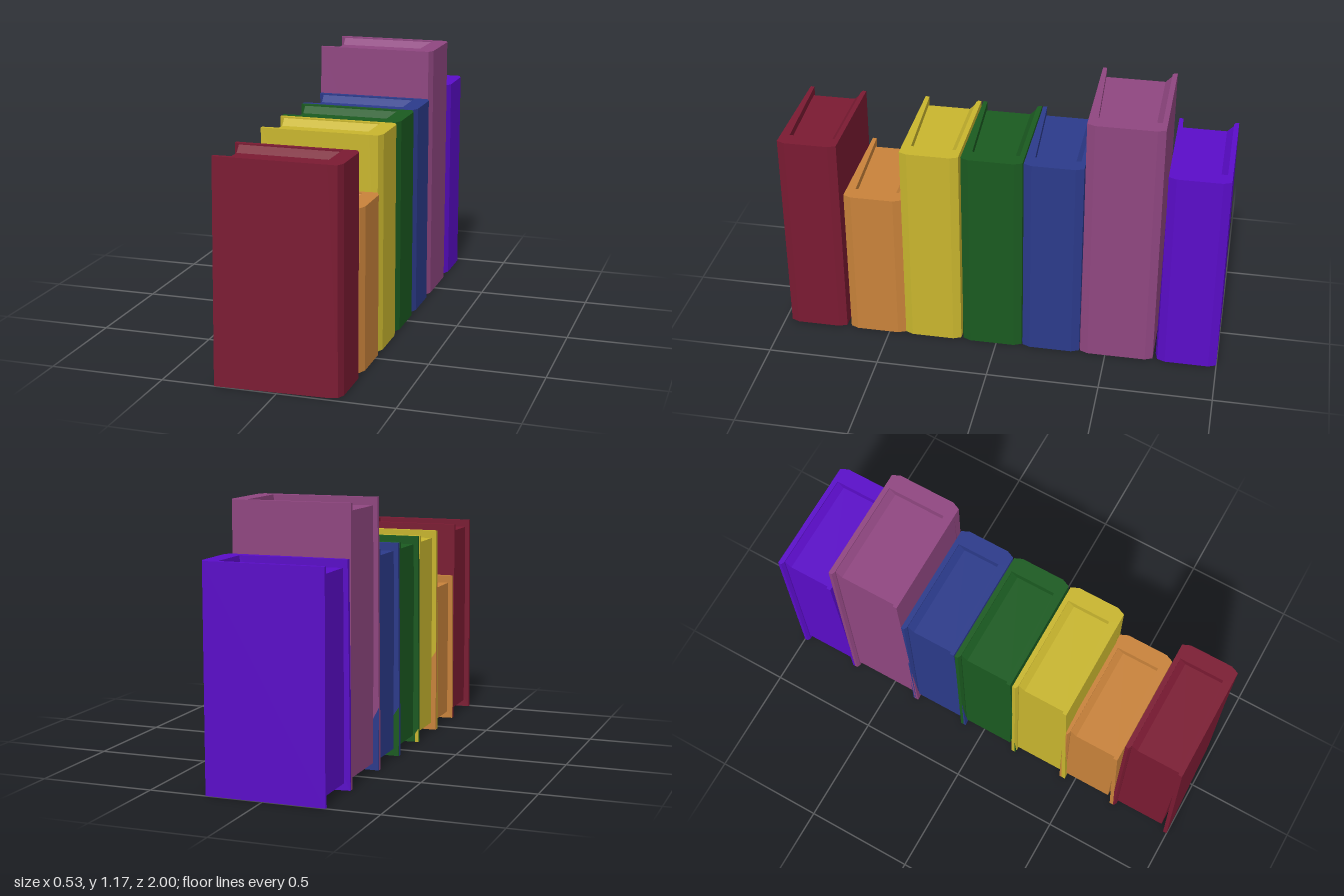
import * as THREE from 'three';

// back z, front z, height, color
const BOOKS = [
  ['violetBook', -1.0, -0.735, 0.955, 0x5a0cc8],
  ['mauveBook', -0.715, -0.385, 1.175, 0x8f4680],
  ['blueBook', -0.38, -0.12, 0.955, 0x2b3a8a],
  ['greenBook', -0.115, 0.155, 0.955, 0x1a5a20],
  ['yellowBook', 0.165, 0.425, 0.955, 0xc8b52e],
  ['orangeBook', 0.425, 0.685, 0.71, 0xc8823a],
  ['redBook', 0.705, 0.97, 0.955, 0x7a1a32],
];
const RECESS = 0.035;

const polygon = (points) => new THREE.Shape(points.map(([x, y]) => new THREE.Vector2(x, y)));

// Two boards and a slightly bowed spine, drawn as a C seen from above
function coverGeometry(b, f, h) {
  const outline = [
    [-0.27, b], [0.25, b], [0.265, b + 0.035], [0.265, f - 0.035], [0.25, f], [0.21, f],
    [-0.27, f], [-0.27, f - 0.018], [0.19, f - 0.04],
    [0.19, b + 0.022], [-0.255, b + 0.022], [-0.27, b + 0.015],
  ];
  const geo = new THREE.ExtrudeGeometry(polygon(outline.map(([x, z]) => [x, -z])), { depth: h, bevelEnabled: false });
  geo.rotateX(-Math.PI / 2);
  // The front board flares outward towards its lower outer corner
  const p = geo.attributes.position;
  for (let i = 0; i < p.count; i++) {
    const x = p.getX(i);
    if (p.getZ(i) > f - 0.02 && x < 0.22) {
      const reach = THREE.MathUtils.mapLinear(x, 0.21, -0.27, 0.01, 0.03);
      p.setZ(i, p.getZ(i) + reach * (1 - p.getY(i) / h));
    }
  }
  geo.computeVertexNormals();
  return geo;
}

// Recessed page block with a sloped edge against the back board
function pagesGeometry(b, f, h) {
  const profile = [
    [b + 0.01, RECESS], [f - 0.01, RECESS], [f - 0.01, h - RECESS],
    [b + 0.05, h - RECESS], [b + 0.022, h - 0.006], [b + 0.01, h - 0.006],
  ];
  const geo = new THREE.ExtrudeGeometry(polygon(profile.map(([z, y]) => [-z, y])), { depth: 0.45, bevelEnabled: false });
  geo.rotateY(Math.PI / 2);
  geo.translate(-0.25, 0, 0);
  return geo;
}

export function createModel() {
  const row = new THREE.Group();
  row.name = 'bookRow';
  for (const [name, b, f, h, color] of BOOKS) {
    const book = new THREE.Group();
    book.name = name;
    const material = new THREE.MeshStandardMaterial({ color });
    const cover = new THREE.Mesh(coverGeometry(b, f, h), material);
    cover.name = 'cover';
    const pages = new THREE.Mesh(pagesGeometry(b, f, h), material);
    pages.name = 'pages';
    book.add(cover, pages);
    row.add(book);
  }
  return row;
}
